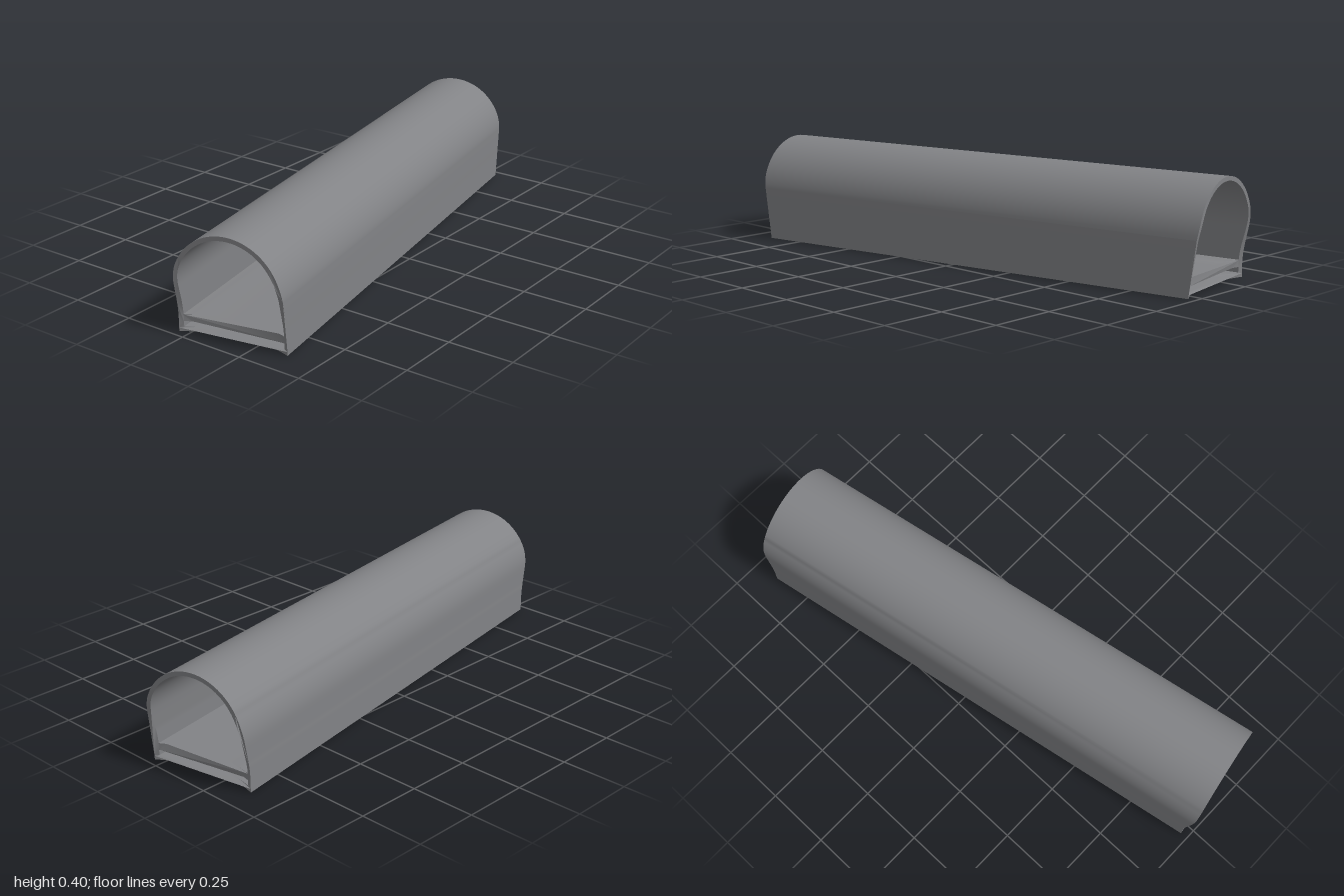
import * as THREE from 'three';
import { toCreasedNormals } from 'three/addons/utils/BufferGeometryUtils.js';

const STEPS = 14;

// Points along a straight edge, without the last one
function edge(x0, y0, x1, y1) {
  return Array.from({ length: STEPS }, (_, i) => {
    const t = i / STEPS;
    return new THREE.Vector2(x0 + (x1 - x0) * t, y0 + (y1 - y0) * t);
  });
}

// Arch outline: flat floor, upright walls and a half-round roof
function archPoints(r, floorY, springY) {
  const roof = Array.from({ length: 40 }, (_, i) => {
    const a = (i / 40) * Math.PI;
    return new THREE.Vector2(r * Math.cos(a), springY + r * Math.sin(a));
  });
  return [
    ...edge(-r, floorY, r, floorY),
    ...edge(r, floorY, r, springY),
    ...roof,
    ...edge(-r, springY, -r, floorY),
  ];
}

// Half length at a point of the section: the floor ends curve inward, the roof overhangs
function halfLength(x, y) {
  const bay = 0.05 * Math.max(0, 1 - (x / 0.21) ** 2);
  const rise = THREE.MathUtils.smoothstep(y, 0.05, 0.27);
  return THREE.MathUtils.lerp(0.95 - bay, 0.982, rise);
}

// Extrude a section along the axis and shape both ends
function tunnelPart(name, shape, material) {
  const geo = new THREE.ExtrudeGeometry(shape, { depth: 2, steps: 1, bevelEnabled: false });
  const p = geo.attributes.position;
  for (let i = 0; i < p.count; i++) {
    const side = p.getZ(i) > 1 ? 1 : -1;
    p.setZ(i, side * halfLength(p.getX(i), p.getY(i)));
  }
  geo.clearGroups();
  const mesh = new THREE.Mesh(toCreasedNormals(geo, 0.6), material);
  mesh.name = name;
  return mesh;
}

export function createModel() {
  const concrete = new THREE.MeshStandardMaterial({ color: 0x828386 });
  concrete.name = 'concrete grey';

  const group = new THREE.Group();
  group.name = 'tunnel';

  // Thin outer shell with its base plate
  const shell = new THREE.Shape(archPoints(0.21, 0, 0.188));
  shell.holes.push(new THREE.Path(archPoints(0.194, 0.018, 0.188)));
  group.add(tunnelPart('tunnelShell', shell, concrete));

  // Raised deck above a shallow gap
  const w = 0.195;
  const deck = new THREE.Shape([
    ...edge(-w, 0.038, w, 0.038),
    ...edge(w, 0.038, w, 0.065),
    ...edge(w, 0.065, -w, 0.065),
    ...edge(-w, 0.065, -w, 0.038),
  ]);
  group.add(tunnelPart('roadDeck', deck, concrete));

  // The tunnel lies slightly askew
  group.rotation.y = 0.177;
  const model = new THREE.Group();
  model.name = 'model';
  model.add(group);
  return model;
}
